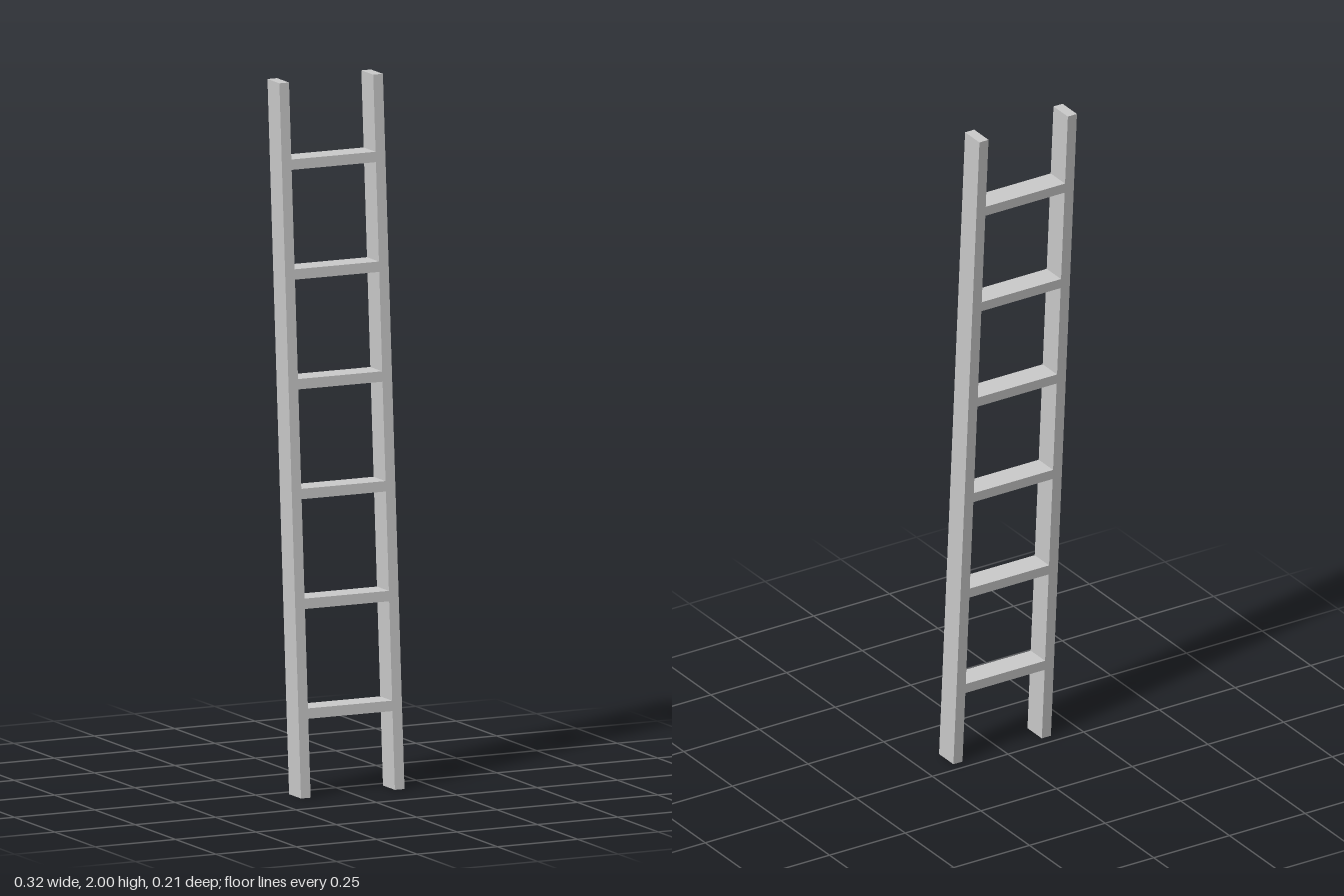
import * as THREE from 'three';

const LEAN = 0.067;    // how far z moves back per unit of height
const DEPTH = 0.074;   // horizontal depth of rails and rungs
const RAIL_INNER = 0.131, RAIL_OUTER = 0.161;
const RUNGS = 6, FIRST_RUNG = 0.235, RUNG_STEP = 0.307, RUNG_THICKNESS = 0.029;

export function createModel() {
  const group = new THREE.Group();
  group.name = 'ladder';
  const material = new THREE.MeshStandardMaterial({ color: 0xcccccc, flatShading: true });

  // A box sheared backwards with height, so its ends stay level
  function leaningBox(name, width, height, x, y) {
    const geometry = new THREE.BoxGeometry(width, height, DEPTH);
    geometry.translate(x, y, 0);
    const p = geometry.attributes.position;
    for (let i = 0; i < p.count; i++) p.setZ(i, p.getZ(i) - LEAN * (p.getY(i) - 1));
    geometry.computeVertexNormals();
    const mesh = new THREE.Mesh(geometry, material);
    mesh.name = name;
    group.add(mesh);
  }

  // Side rails
  const railX = (RAIL_INNER + RAIL_OUTER) / 2;
  leaningBox('leftRail', RAIL_OUTER - RAIL_INNER, 2, railX, 1);
  leaningBox('rightRail', RAIL_OUTER - RAIL_INNER, 2, -railX, 1);

  // Flat rungs, flush with the rails front and back
  for (let i = 0; i < RUNGS; i++) {
    leaningBox(`rung${i + 1}`, RAIL_INNER * 2, RUNG_THICKNESS, 0, FIRST_RUNG + i * RUNG_STEP);
  }
  return group;
}
